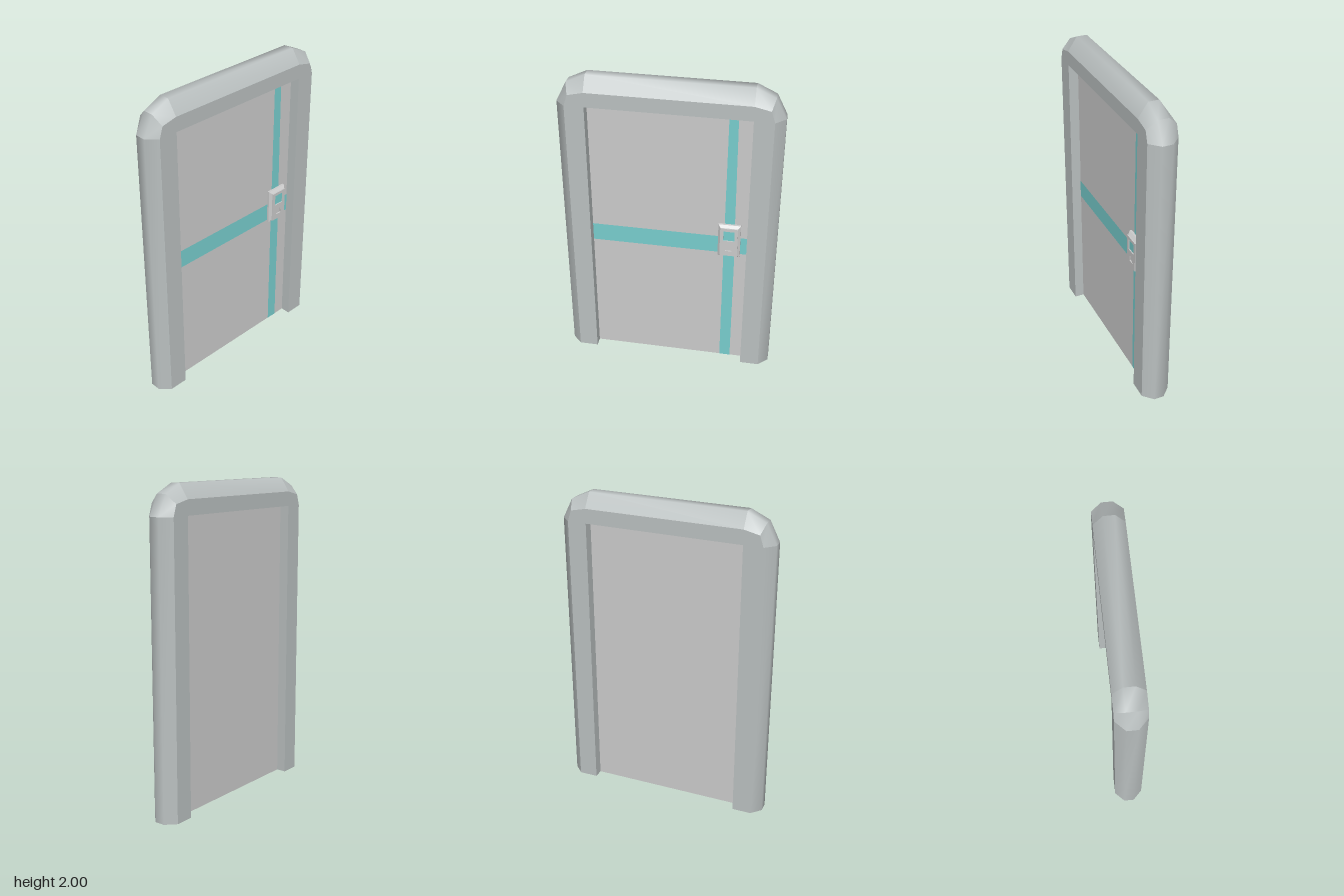
import * as THREE from 'three';
import { mergeGeometries } from 'three/addons/utils/BufferGeometryUtils.js';

const mat = (color, side = THREE.FrontSide) => new THREE.MeshStandardMaterial({ color, side });
const part = (name, geometry, material) => {
  const m = new THREE.Mesh(geometry, material);
  m.name = name;
  return m;
};
const polygon = (pts) => new THREE.Shape(pts.map(([x, y]) => new THREE.Vector2(x, y)));
const rect = (x0, y0, x1, y1) => polygon([[x0, y0], [x1, y0], [x1, y1], [x0, y1]]);

// Surface between two rows of points, smooth within itself
function strip(a, b) {
  const n = a.length, index = [];
  for (let j = 0; j < n - 1; j++) index.push(j, j + 1, n + j + 1, j, n + j + 1, n + j);
  const g = new THREE.BufferGeometry();
  g.setAttribute('position', new THREE.Float32BufferAttribute([...a, ...b].flat(), 3));
  g.setIndex(index);
  g.computeVertexNormals();
  return g;
}

const DEPTH = 0.0925, EDGE = 0.033, DOOR = 0.03;

// Door frame: a bevelled section swept up, over and down
function frameGeometry() {
  // each station: inner edge, front crease, outer edge
  const half = [
    [[0.495, 0], [0.615, 0], [0.675, 0]],
    [[0.495, 1.82], [0.615, 1.82], [0.675, 1.82]],
    [[0.495, 1.82], [0.592, 1.89], [0.612, 1.945]],
    [[0.495, 1.82], [0.495, 1.912], [0.495, 2]],
  ];
  const mirrored = half.map((s) => s.map(([x, y]) => [-x, y])).reverse();
  const rows = [...half, ...mirrored].map(([i, c, o]) => ({
    bevel: [[...c, DEPTH], [...o, EDGE], [...o, -EDGE], [...c, -DEPTH]],
    front: [[...i, DEPTH], [...c, DEPTH]],
    back: [[...c, -DEPTH], [...i, -DEPTH]],
    reveal: [[...i, -DEPTH], [...i, DEPTH]],
  }));
  const pieces = [];
  for (let k = 0; k < rows.length - 1; k++) {
    for (const key of ['bevel', 'front', 'back', 'reveal']) {
      const a = rows[k][key], b = rows[k + 1][key];
      if (key === 'reveal' && a[0].join() === b[0].join()) continue; // corner pivots on the inner edge
      pieces.push(strip(a, b));
    }
  }
  // feet of the two posts
  for (const s of [1, -1]) {
    const foot = new THREE.ShapeGeometry(polygon([
      [0.495 * s, -DEPTH], [0.615 * s, -DEPTH], [0.675 * s, -EDGE],
      [0.675 * s, EDGE], [0.615 * s, DEPTH], [0.495 * s, DEPTH],
    ]));
    foot.rotateX(Math.PI / 2);
    foot.deleteAttribute('uv');
    pieces.push(foot);
  }
  return mergeGeometries(pieces);
}

// Lock: bevelled body, face plate with two recesses, and a screen
function createLock(grey, teal) {
  const lock = new THREE.Group();
  lock.name = 'lock';
  const w = 0.055, h = 0.1;
  const body = new THREE.ExtrudeGeometry(rect(-w, -h, w, h), {
    depth: 0.02, bevelThickness: 0.015, bevelSize: 0.015, bevelSegments: 1,
  });
  body.translate(0, 0, -0.005);
  lock.add(part('lockBody', body, grey));

  const plate = rect(-w, -h, w, h);
  plate.holes.push(rect(-0.035, 0.01, 0.035, 0.08));
  plate.holes.push(polygon([[-0.022, -0.065], [0.022, -0.065], [0.014, -0.027], [-0.014, -0.027]]));
  const face = new THREE.ExtrudeGeometry(plate, { depth: 0.008, bevelEnabled: false });
  face.translate(0, 0, 0.03);
  lock.add(part('lockFacePlate', face, grey));

  const screen = part('lockScreen', new THREE.PlaneGeometry(0.07, 0.07), teal);
  screen.position.set(0, 0.045, 0.0315);
  lock.add(screen);
  lock.position.set(0.38, 0.955, DOOR);
  return lock;
}

export function createModel() {
  const model = new THREE.Group();
  model.name = 'door';
  const grey = mat(0xcccccc), teal = mat(0x78cece);

  model.add(part('doorFrame', frameGeometry(), mat(0xbac0c0)));

  // Recessed door panel
  const panel = part('doorPanel', new THREE.BoxGeometry(0.99, 1.82, DOOR * 2), grey);
  panel.position.y = 0.91;
  model.add(panel);

  // Painted stripes on the front of the panel
  const stripes = {
    horizontalStripe: rect(-0.495, 0.852, 0.495, 0.972),
    upperStripe: polygon([[0.347, 0.972], [0.412, 0.972], [0.405, 1.82], [0.35, 1.82]]),
    lowerStripe: rect(0.346, 0, 0.416, 0.852),
  };
  for (const [name, shape] of Object.entries(stripes)) {
    const stripe = part(name, new THREE.ShapeGeometry(shape), teal);
    stripe.position.z = DOOR + 0.0015;
    model.add(stripe);
  }

  model.add(createLock(grey, teal));
  return model;
}
